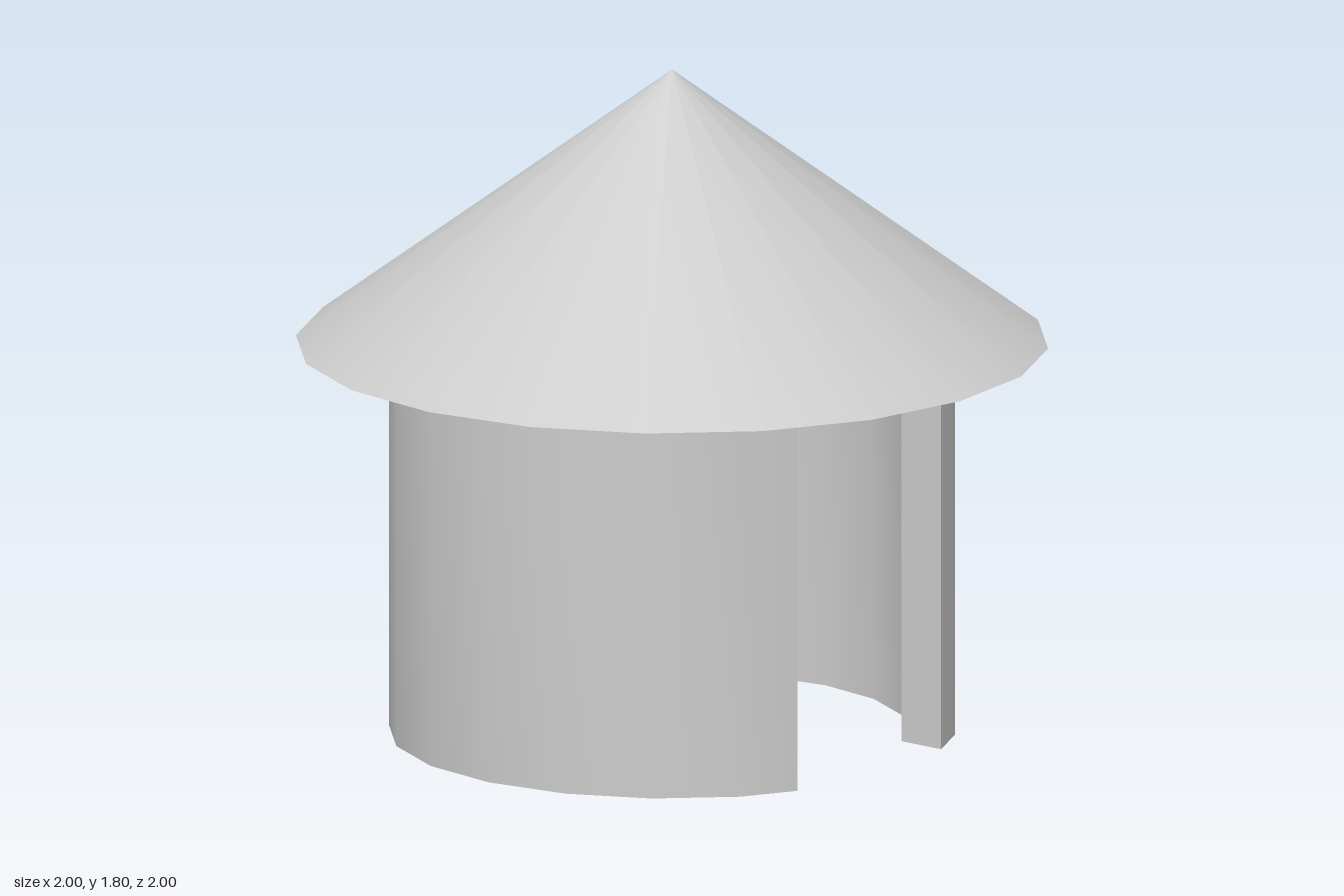
import * as THREE from 'three';
import { toCreasedNormals } from 'three/addons/utils/BufferGeometryUtils.js';

const SIDES = 20;
const STEP = (Math.PI * 2) / SIDES;
const WALL_HEIGHT = 1.06;
const OUTER = 0.753;
const INNER = 0.63;
const DOOR_HALF = 0.295;
const ROOF_HEIGHT = 0.745;

// Ring of a 20-sided polygon, cut off where it meets the straight door jambs
function openRing(radius) {
  const mid = 3.5 * STEP; // middle of the side that the jamb cuts
  const jamb = (radius * Math.cos(STEP / 2) - DOOR_HALF * Math.cos(mid)) / Math.sin(mid);
  const points = [new THREE.Vector2(DOOR_HALF, -jamb)];
  for (let i = -3; i <= 13; i++) {
    points.push(new THREE.Vector2(radius * Math.cos(i * STEP), radius * Math.sin(i * STEP)));
  }
  points.push(new THREE.Vector2(-DOOR_HALF, -jamb));
  return points;
}

export function createModel() {
  const group = new THREE.Group();
  group.name = 'roundHut';
  const material = new THREE.MeshStandardMaterial({ color: 0xcccccc });

  // Thick round wall with a full-height doorway at the front
  const plan = new THREE.Shape([...openRing(OUTER), ...openRing(INNER).reverse()]);
  const wallGeometry = new THREE.ExtrudeGeometry(plan, { depth: WALL_HEIGHT, bevelEnabled: false });
  wallGeometry.rotateX(-Math.PI / 2);
  const wall = new THREE.Mesh(toCreasedNormals(wallGeometry, 0.5), material);
  wall.name = 'wall';
  group.add(wall);

  // Overhanging conical roof, closed underneath
  const roof = new THREE.Mesh(new THREE.ConeGeometry(1, ROOF_HEIGHT, SIDES), material);
  roof.name = 'roof';
  roof.position.y = WALL_HEIGHT + ROOF_HEIGHT / 2;
  group.add(roof);

  return group;
}
